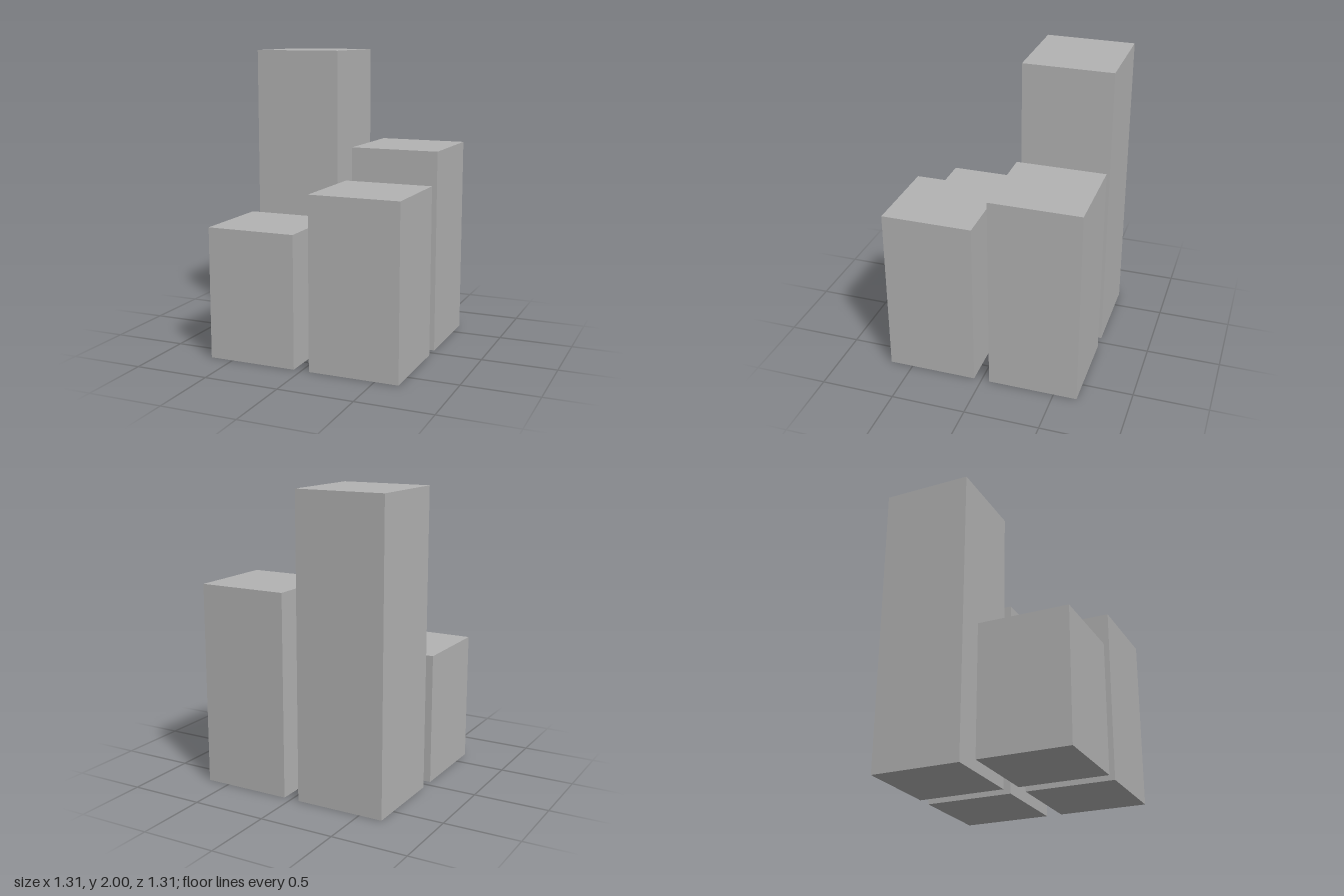
import * as THREE from 'three';

export function createModel() {
  const model = new THREE.Group();
  model.name = 'towerCluster';
  const grey = new THREE.MeshStandardMaterial({ color: 0xb2b2b2 });
  grey.name = 'grey';

  const width = 0.604; // side of each square tower
  const offset = 0.355; // tower centre from the middle of the cluster

  // Four separate square towers: name, x side, z side, height
  const towers = [
    ['backRightTower', -1, -1, 2],
    ['backLeftTower', 1, -1, 1.355],
    ['frontLeftTower', 1, 1, 1.143],
    ['frontRightTower', -1, 1, 0.88],
  ];
  for (const [name, sx, sz, height] of towers) {
    const tower = new THREE.Mesh(new THREE.BoxGeometry(width, height, width), grey);
    tower.name = name;
    tower.position.set(sx * offset, height / 2, sz * offset);
    model.add(tower);
  }
  return model;
}
